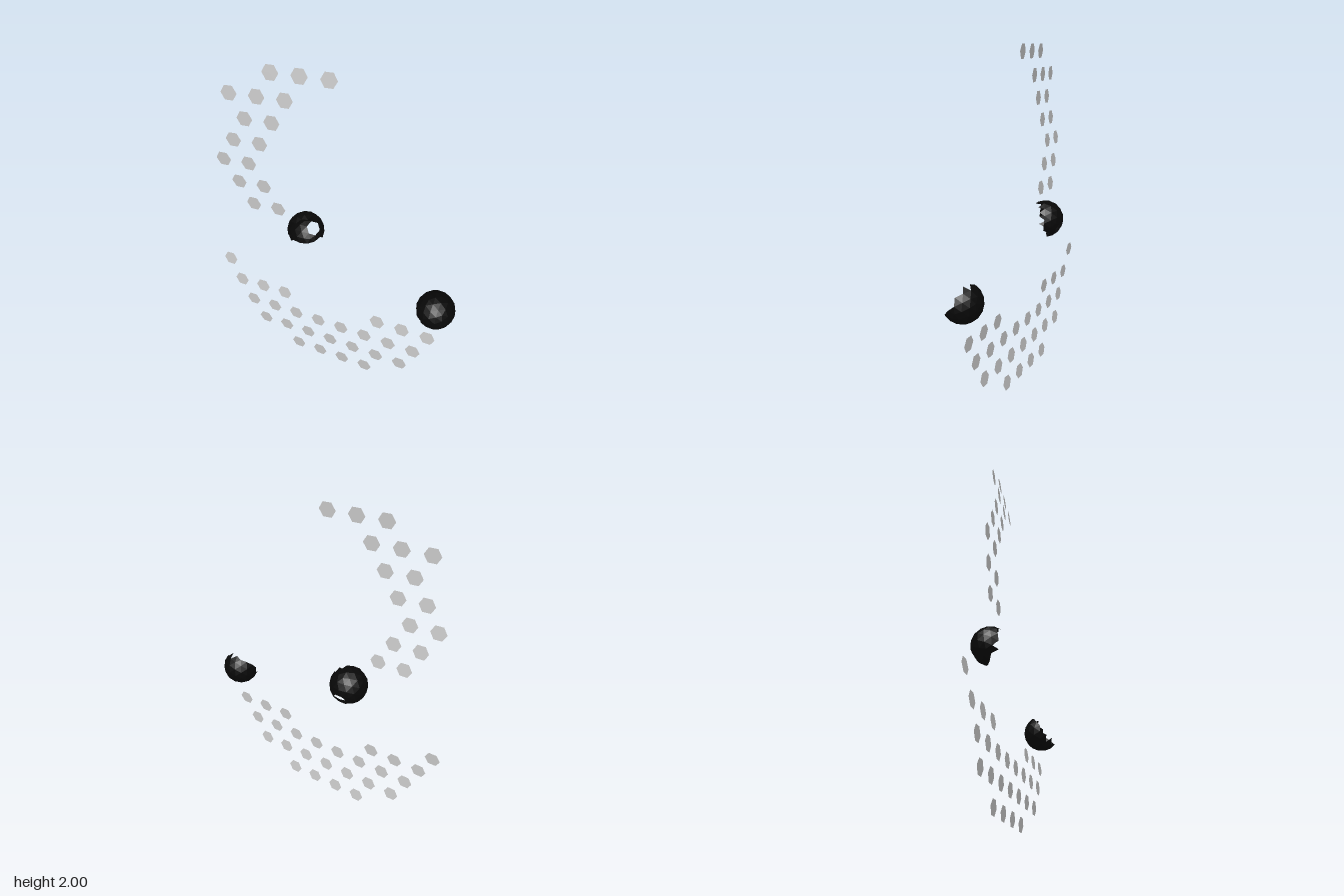
import * as THREE from 'three';

const STEP_X = 0.081, STEP_Y = 0.14, TILE_R = 0.048;

// Each row: z at x = 0, slope of z along x, then runs of [first column, tile count]
const lowerRows = [
  { z: 0.028, slope: 0.02, runs: [[6, 4]] },
  { z: 0.041, slope: 0.02, runs: [[3, 7]] },
  { z: 0.049, slope: 0.014, runs: [[2, 8]] },
  { z: 0.046, slope: 0.01, runs: [[1, 3], [13, 3]] },
  { z: 0.037, slope: 0.01, runs: [[0, 1]] },
];
const upperRows = [
  { z: 0.058, slope: -0.03, runs: [[3, 2]] },
  { z: 0.064, slope: -0.04, runs: [[2, 2]] },
  { z: 0.066, slope: -0.06, runs: [[1, 2]] },
  { z: 0.062, slope: -0.08, runs: [[2, 2]] },
  { z: 0.058, slope: -0.09, runs: [[3, 2]] },
  { z: 0.049, slope: -0.11, runs: [[2, 3]] },
  { z: 0.038, slope: -0.11, runs: [[5, 3]] },
];

// Hexagonal tiles laid on a gently curved sheet, each tilted with it
function tileField(name, rows, y0, geometry, material) {
  const group = new THREE.Group();
  group.name = name;
  const depth = (row, x) => row.z + row.slope * x;
  rows.forEach((row, k) => {
    const a = Math.max(k - 1, 0), b = Math.min(k + 1, rows.length - 1);
    for (const [first, count] of row.runs) {
      for (let i = 0; i < count; i++) {
        const x = -0.74 + STEP_X * (first + 2 * i);
        const dzdy = (depth(rows[b], x) - depth(rows[a], x)) / ((b - a) * STEP_Y);
        const tile = new THREE.Mesh(geometry, material);
        tile.name = 'hexTile';
        tile.position.set(x, y0 + STEP_Y * k, depth(row, x));
        const normal = new THREE.Vector3(-row.slope, -dzdy, 1).normalize();
        tile.quaternion.setFromUnitVectors(new THREE.Vector3(0, 0, 1), normal);
        group.add(tile);
      }
    }
  });
  return group;
}

// Faceted ball with the facets on its open side left out, and an optional hexagonal hole
function brokenShell(name, center, open, cut, pole, hole, material) {
  const ball = new THREE.IcosahedronGeometry(0.113, 2);
  const turn = new THREE.Quaternion().setFromUnitVectors(
    new THREE.Vector3(1, 1, 1).normalize(), pole.normalize());
  ball.applyQuaternion(turn);
  open.normalize();
  const p = ball.attributes.position, kept = [];
  for (let i = 0; i < p.count; i += 3) {
    const corners = [0, 1, 2].map((j) => new THREE.Vector3().fromBufferAttribute(p, i + j));
    const mid = new THREE.Vector3();
    corners.forEach((c) => mid.addScaledVector(c, 1 / 3));
    if (mid.dot(open) > cut) continue;
    if (hole && mid.angleTo(pole) < 0.3) continue;
    corners.forEach((c) => kept.push(c.x, c.y, c.z));
  }
  const geometry = new THREE.BufferGeometry();
  geometry.setAttribute('position', new THREE.Float32BufferAttribute(kept, 3));
  geometry.computeVertexNormals();
  const mesh = new THREE.Mesh(geometry, material);
  mesh.name = name;
  mesh.position.copy(center);
  return mesh;
}

export function createModel() {
  const V = (x, y, z) => new THREE.Vector3(x, y, z);
  const model = new THREE.Group();
  model.name = 'hexTileSculpture';
  const grey = new THREE.MeshStandardMaterial({ color: 0xcccccc, side: THREE.DoubleSide });
  const black = new THREE.MeshStandardMaterial({ color: 0x080808, side: THREE.DoubleSide, flatShading: true });
  const hex = new THREE.CircleGeometry(TILE_R, 6);

  // Lower and upper tile fields
  model.add(tileField('lowerTiles', lowerRows, 0.044, hex, grey));
  model.add(tileField('upperTiles', upperRows, 1.118, hex, grey));

  // Two dark open shells
  model.add(brokenShell('middleShell', V(-0.2, 0.958, -0.02), V(0.5, -0.2, 0.84), 0.015,
    V(0.02, -0.45, -0.89), true, black));
  model.add(brokenShell('leftShell', V(0.672, 0.71, 0.062), V(0, 0.54, 0.84), 0.015,
    V(0, -0.3, -0.95), false, black));
  return model;
}
